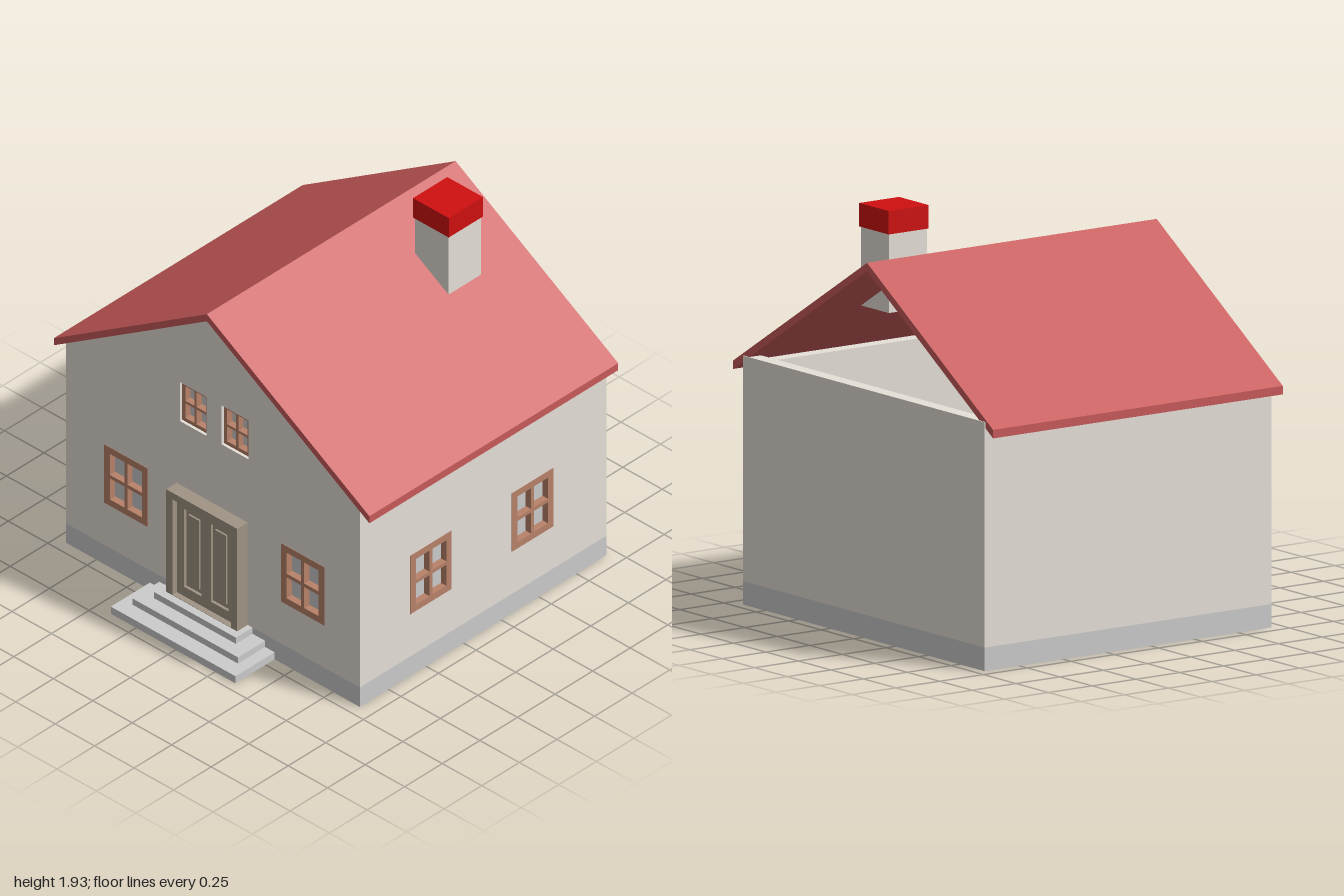
import * as THREE from 'three';

const mat = (color, side = THREE.FrontSide) => new THREE.MeshStandardMaterial({ color, side, flatShading: true });
const M = {
  wall: mat(0xe6e0d8), stone: mat(0xcccccc), roof: mat(0xc85a5a), cap: mat(0xd01010),
  wood: mat(0xb8826a), door: mat(0xa09484),
};
const T = 0.07; // wall thickness
const X0 = -0.69, X1 = 0.95, Z0 = -0.94, Z1 = 0.92;

function mesh(parent, name, geometry, material) {
  const m = new THREE.Mesh(geometry, material);
  m.name = name;
  parent.add(m);
  return m;
}

// Box given by its limits on each axis
function box(parent, name, [xa, xb], [ya, yb], [za, zb], material) {
  const m = mesh(parent, name, new THREE.BoxGeometry(xb - xa, yb - ya, zb - za), material);
  m.position.set((xa + xb) / 2, (ya + yb) / 2, (za + zb) / 2);
  return m;
}

// Outline with rectangular holes [x, y, width, height], extruded along +z
function slab(points, holes, depth) {
  const shape = new THREE.Shape(points.map(([x, y]) => new THREE.Vector2(x, y)));
  for (const [x, y, w, h] of holes) {
    shape.holes.push(new THREE.Path([
      new THREE.Vector2(x - w / 2, y - h / 2), new THREE.Vector2(x - w / 2, y + h / 2),
      new THREE.Vector2(x + w / 2, y + h / 2), new THREE.Vector2(x + w / 2, y - h / 2),
    ]));
  }
  return new THREE.ExtrudeGeometry(shape, { depth, bevelEnabled: false });
}

const rect = (xa, xb, ya, yb) => [[xa, ya], [xb, ya], [xb, yb], [xa, yb]];

// Four-pane window facing +z, its outer face at z = 0
function windowUnit(name, w, h, border, bar) {
  const g = new THREE.Group();
  g.name = name;
  const pw = (w - 2 * border - bar) / 2, ph = (h - 2 * border - bar) / 2;
  const panes = [];
  for (const sx of [-1, 1]) for (const sy of [-1, 1]) {
    panes.push([sx * (pw + bar) / 2, sy * (ph + bar) / 2, pw, ph]);
  }
  const frame = mesh(g, 'windowFrame', slab(rect(-w / 2, w / 2, -h / 2, h / 2), panes, 0.04), M.wood);
  frame.position.z = -0.04;
  box(g, 'windowGlass', [-w / 2 + 0.01, w / 2 - 0.01], [-h / 2 + 0.01, h / 2 - 0.01], [-0.05, -0.035], M.stone);
  box(g, 'windowBack', [-w / 2, w / 2], [-h / 2, h / 2], [-T, -0.05], M.wood);
  return g;
}

export function createModel() {
  const house = new THREE.Group();
  house.name = 'house';

  // Plinth and entrance steps
  box(house, 'plinth', [X0, X1], [0, 0.11], [Z0, Z1], M.stone);
  [[-0.95, 0, 0.04, -0.41, 0.38], [-0.87, 0.04, 0.075, -0.35, 0.32], [-0.8, 0.075, 0.11, -0.28, 0.24]]
    .forEach(([x, ya, yb, za, zb]) => box(house, 'step', [x, X0], [ya, yb], [za, zb], M.stone));

  // Front wall with two windows
  const W = 0.275, H = 0.33, WY = 0.515;
  const frontX = [-0.218, 0.458];
  const front = mesh(house, 'frontWall',
    slab(rect(X0 + T, X1 - T, 0.11, 1.14), frontX.map(x => [x, WY, W, H]), T), M.wall);
  front.position.z = Z1 - T;
  for (const x of frontX) {
    const win = windowUnit('frontWindow', W, H, 0.036, 0.02);
    win.position.set(x, WY, Z1 + 0.002);
    house.add(win);
  }

  // Plain back wall and low right wall, leaving the attic end open
  box(house, 'backWall', [X0 + T, X1 - T], [0.11, 1.14], [Z0, Z0 + T], M.wall);
  box(house, 'rightWall', [X1 - T, X1], [0.11, 1.167], [Z0, Z1], M.wall);

  // Left gable wall with windows beside the door and in the attic
  const sideWindows = [-0.56, 0.56].map(z => [z, WY, W, H]);
  const atticWindows = [-0.135, 0.13].map(z => [z, 1.16, 0.17, 0.22]);
  const gable = mesh(house, 'gableWall', slab(
    [[Z0, 0.11], [Z1, 0.11], [Z1, 1.145], [-0.03, 1.73], [Z0, 1.145]],
    [...sideWindows, ...atticWindows], T), M.wall);
  gable.rotation.y = -Math.PI / 2;
  gable.position.x = X0 + T;
  const addLeft = (win, x, y, z) => {
    win.rotation.y = -Math.PI / 2;
    win.position.set(x, y, z);
    house.add(win);
  };
  for (const [z, y, w, h] of sideWindows) addLeft(windowUnit('sideWindow', w, h, 0.036, 0.02), X0 - 0.002, y, z);
  for (const [z, y, w, h] of atticWindows) addLeft(windowUnit('atticWindow', w, h, 0.02, 0.014), X0 + 0.015, y, z);

  // Door: projecting surround, recessed leaf, two tall panels
  const door = new THREE.Group();
  door.name = 'door';
  house.add(door);
  const surround = mesh(door, 'doorSurround',
    slab(rect(-0.24, 0.21, 0.11, 0.69), [[-0.015, 0.382, 0.37, 0.54]], 0.07), M.door);
  surround.rotation.y = -Math.PI / 2;
  surround.position.x = X0;
  const leaf = mesh(door, 'doorLeaf', slab(rect(-0.205, 0.175, 0.11, 0.655),
    [-0.1, 0.07].map(z => [z, 0.385, 0.11, 0.44]), 0.02), M.door);
  leaf.rotation.y = -Math.PI / 2;
  leaf.position.x = X0 - 0.02;
  box(door, 'doorBack', [X0 - 0.025, X0], [0.11, 0.655], [-0.2, 0.17], M.door);
  for (const z of [-0.1, 0.07]) {
    box(door, 'doorPanel', [X0 - 0.035, X0 - 0.02], [0.19, 0.58], [z - 0.035, z + 0.035], M.door);
  }

  // Gabled roof as one bent sheet
  const roof = mesh(house, 'roof', slab(
    [[1, 1.09], [1, 1.13], [-0.03, 1.76], [-1, 1.14], [-1, 1.1], [-0.03, 1.72]], [], 1.655), M.roof);
  roof.rotation.y = -Math.PI / 2;
  roof.position.x = 0.945;

  // Chimney
  box(house, 'chimney', [0.435, 0.652], [1.45, 1.82], [0.197, 0.41], M.wall);
  box(house, 'chimneyCap', [0.43, 0.658], [1.82, 1.93], [0.19, 0.417], M.cap);

  return house;
}
